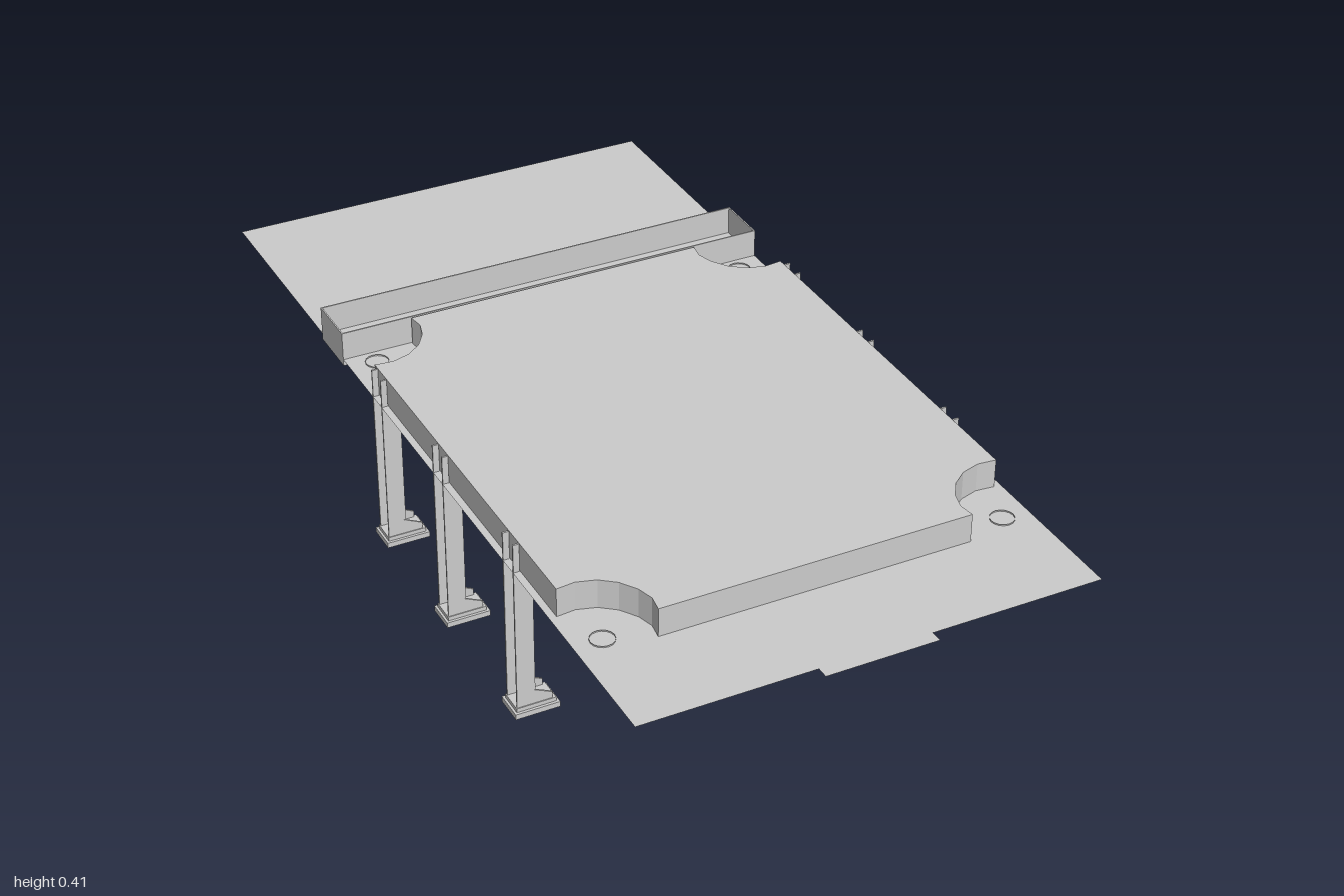
import * as THREE from 'three';

const mat = new THREE.MeshStandardMaterial({ color: 0xcccccc, side: THREE.DoubleSide, flatShading: true });
const TOP = 0.408, SHEET = 0.345, BASE = 0.34;

export function createModel() {
  const model = new THREE.Group();

  const add = (name, geometry, parent = model) => {
    const mesh = new THREE.Mesh(geometry, mat);
    mesh.name = name;
    parent.add(mesh);
    return mesh;
  };
  // Box given by its limits
  const box = (name, x0, x1, y0, y1, z0, z1, parent) => {
    const g = new THREE.BoxGeometry(x1 - x0, y1 - y0, z1 - z0);
    g.translate((x0 + x1) / 2, (y0 + y1) / 2, (z0 + z1) / 2);
    return add(name, g, parent);
  };
  // Thin wall between an upper and a lower row of points
  const ribbon = (name, upper, lower) => {
    const pos = [], idx = [];
    upper.forEach((p, i) => {
      pos.push(...p, ...lower[i]);
      if (i) {
        const a = 2 * i - 2;
        idx.push(a, a + 1, a + 2, a + 2, a + 1, a + 3);
      }
    });
    const g = new THREE.BufferGeometry();
    g.setAttribute('position', new THREE.Float32BufferAttribute(pos, 3));
    g.setIndex(idx);
    g.computeVertexNormals();
    return add(name, g);
  };
  // Flat shape in plan (x, z) laid at a height
  const flat = (name, shape, y) => {
    const g = new THREE.ShapeGeometry(shape);
    g.rotateX(Math.PI / 2).translate(0, y, 0);
    return add(name, g);
  };

  // Deck outline: a rectangle with a concave scoop at each corner
  const scoop = [[0.335, 0.76], [0.33, 0.725], [0.34, 0.69], [0.363, 0.655], [0.395, 0.63], [0.435, 0.618], [0.475, 0.622]];
  const back = scoop.map(([x, z]) => [x, 0.375 - z]).reverse();
  const half = [...scoop, ...back];
  const outline = [...half, ...half.map(([x, z]) => [-x, z]).reverse()];
  const points = outline.map(([x, z]) => new THREE.Vector2(x, z));

  // Hollow deck
  flat('deckTop', new THREE.Shape(points), TOP);
  const loop = [...outline, outline[0]];
  ribbon('deckWall', loop.map(([x, z]) => [x, TOP, z]), loop.map(([x, z]) => [x, BASE, z]));

  // Sheet around the deck, with a tab in front
  const sheet = new THREE.Shape([
    [-0.49, -1], [0.49, -1], [0.49, 0.975], [0.12, 0.975], [0.12, 1], [-0.12, 1], [-0.12, 0.975], [-0.49, 0.975],
  ].map(([x, z]) => new THREE.Vector2(x, z)));
  sheet.holes.push(new THREE.Path(points));
  flat('sheet', sheet, SHEET);

  // Corner sockets on the sheet
  for (const x of [-0.43, 0.43]) for (const z of [-0.35, 0.722]) {
    const g = new THREE.CylinderGeometry(0.025, 0.025, 0.006, 16, 1, true);
    g.translate(x, SHEET, z);
    add('cornerSocket', g);
  }

  // Open trough behind the deck
  const T = 0.003;
  box('troughFrontWall', -0.49, 0.49, 0.33, TOP, -0.39 - T, -0.39);
  box('troughBackWall', -0.49, 0.49, 0.33, TOP, -0.51, -0.51 + T);
  for (const s of [-1, 1]) {
    const x = s * (0.49 - T / 2);
    box('troughEnd', x - T / 2, x + T / 2, 0.33, TOP, -0.51, -0.39);
  }

  // Curved apron below the rear of the deck
  const mirror = (pts) => [...pts, ...pts.map(([x, y, z]) => [-x, y, z]).reverse()];
  ribbon('rearApron',
    mirror([[0.347, 0.325, -0.42], [0.25, 0.34, -0.42], [0.235, 0.34, -0.36], [0.205, 0.34, -0.295], [0.155, 0.34, -0.25], [0.08, 0.34, -0.235]]),
    mirror([[0.347, 0.248, -0.42], [0.232, 0.248, -0.42], [0.215, 0.248, -0.38], [0.188, 0.248, -0.33], [0.142, 0.248, -0.292], [0.075, 0.248, -0.28]]));

  // Centre channel under the deck
  for (const s of [-1, 1]) box('centreBeamSide', s * 0.077 - T, s * 0.077 + T, 0.326, TOP - 0.002, -0.24, 0.53);
  box('centreBeamWeb', -0.077, 0.077, 0.345, 0.35, -0.24, 0.53);

  // Legs in pairs, each a channel on a stepped foot, joined by a cross member
  const cheek = new THREE.Shape([
    [0.489, 0.02], [0.489, TOP], [0.476, TOP], [0.476, 0.345], [0.44, 0.345], [0.45, 0.325],
    [0.455, 0.055], [0.413, 0.035], [0.413, 0.02],
  ].map(([x, y]) => new THREE.Vector2(x, y)));
  const cheekGeometry = new THREE.ExtrudeGeometry(cheek, { depth: 0.004, bevelEnabled: false });

  for (const z of [0.437, 0.105, -0.207]) {
    box('crossMember', -0.455, 0.455, BASE, 0.358, z - 0.025, z + 0.025);
    for (const side of [0, Math.PI]) {
      const leg = new THREE.Group();
      leg.name = 'leg';
      for (const dz of [-0.025, 0.021]) add('legCheek', cheekGeometry, leg).position.z = dz;
      box('legWeb', 0.449, 0.456, 0.05, 0.345, -0.024, 0.024, leg);
      box('footBase', 0.4, 0.496, 0, 0.012, -0.033, 0.033, leg);
      box('footStep', 0.406, 0.491, 0.012, 0.021, -0.027, 0.027, leg);
      leg.position.z = z;
      leg.rotation.y = side;
      model.add(leg);
    }
  }
  return model;
}
